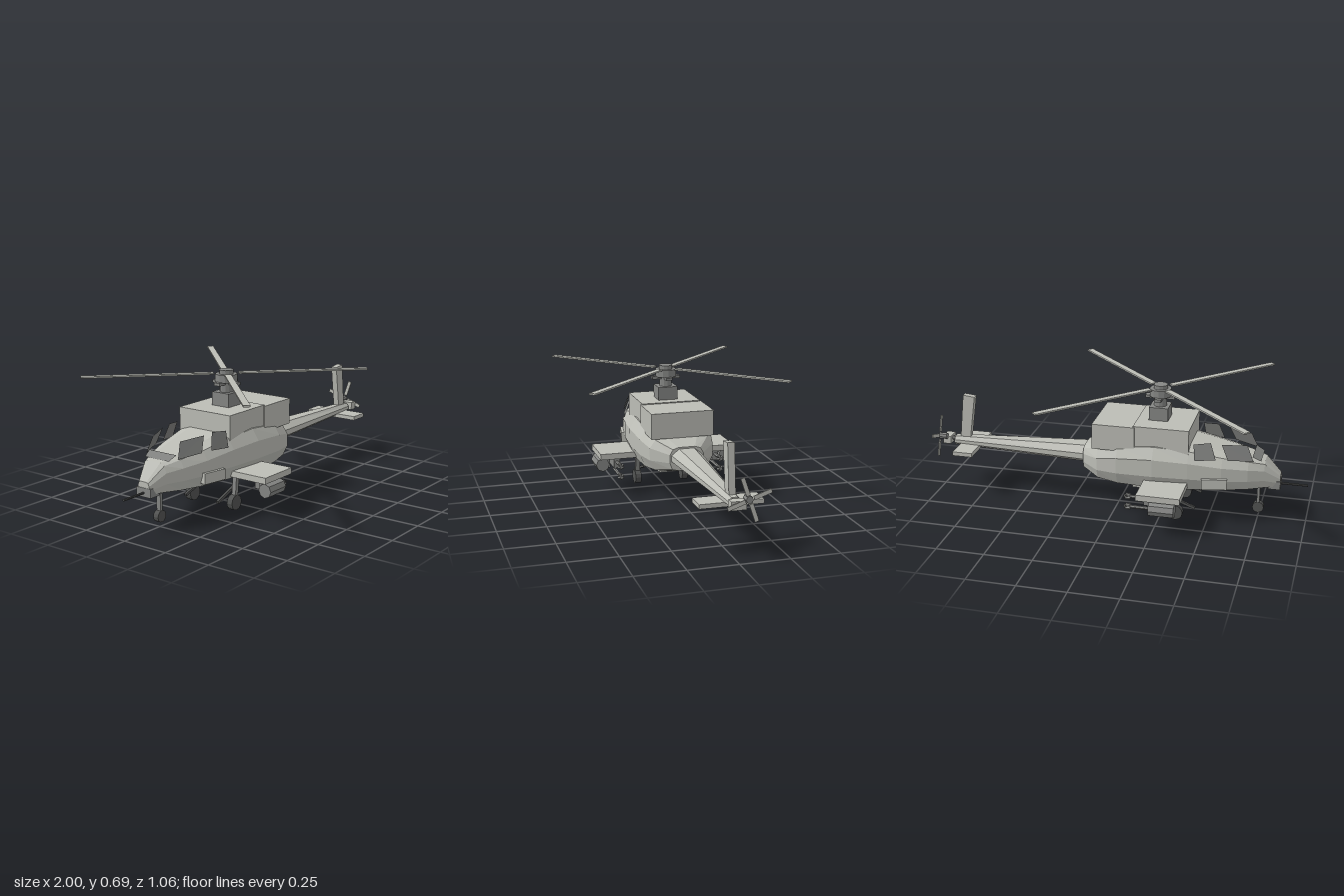
import * as THREE from 'three';

const mat = (name, color, extra = {}) => {
  const m = new THREE.MeshStandardMaterial({ color, flatShading: true, ...extra });
  m.name = name;
  return m;
};

// Skin a row of cross-sections; each station is [x, halfWidth, yBottom, yTop]
function loft(stations, section) {
  const rings = stations.map(([x, w, y0, y1]) =>
    [...section, ...section.slice().reverse().map(([a, b]) => [-a, b])]
      .map(([a, b]) => [x, y0 + b * (y1 - y0), a * w]));
  const out = [], n = rings[0].length, last = rings[rings.length - 1];
  for (let i = 0; i + 1 < rings.length; i++) {
    for (let j = 0; j < n; j++) {
      const k = (j + 1) % n;
      const a = rings[i][j], b = rings[i][k], c = rings[i + 1][j], d = rings[i + 1][k];
      out.push(...a, ...c, ...b, ...b, ...c, ...d);
    }
  }
  for (let j = 1; j + 1 < n; j++) {
    out.push(...rings[0][0], ...rings[0][j], ...rings[0][j + 1]);
    out.push(...last[0], ...last[j + 1], ...last[j]);
  }
  return fromPoints(out);
}

function fromPoints(points) {
  const g = new THREE.BufferGeometry();
  g.setAttribute('position', new THREE.Float32BufferAttribute(points, 3));
  g.computeVertexNormals();
  return g;
}

const quad = (a, b, c, d) => fromPoints([...a, ...b, ...c, ...a, ...c, ...d]);

export function createModel() {
  const model = new THREE.Group();
  model.name = 'helicopter';
  const paint = mat('light grey paint', 0xbcbdb6);
  const metal = mat('mid grey metal', 0x868785);
  const glass = mat('grey glass', 0x80817f, { side: THREE.DoubleSide });
  const dark = mat('dark grey rubber', 0x525352);

  const add = (name, geo, material, x = 0, y = 0, z = 0, parent = model) => {
    const m = new THREE.Mesh(geo, material);
    m.name = name;
    m.position.set(x, y, z);
    parent.add(m);
    return m;
  };
  // Box given by its limits on each axis
  const box = (name, material, x0, x1, y0, y1, z0, z1) =>
    add(name, new THREE.BoxGeometry(x1 - x0, y1 - y0, z1 - z0), material,
      (x0 + x1) / 2, (y0 + y1) / 2, (z0 + z1) / 2);
  const rod = (name, material, r, x0, x1, y, z, sides = 8) =>
    add(name, new THREE.CylinderGeometry(r, r, x1 - x0, sides).rotateZ(Math.PI / 2),
      material, (x0 + x1) / 2, y, z);

  // Hull and tail boom
  add('fuselage', loft([
    [-0.86, 0.035, 0.19, 0.255], [-0.78, 0.075, 0.183, 0.335], [-0.70, 0.115, 0.178, 0.355],
    [-0.57, 0.155, 0.172, 0.378], [-0.40, 0.185, 0.166, 0.41], [-0.22, 0.203, 0.162, 0.425],
    [-0.03, 0.197, 0.168, 0.405], [0.08, 0.172, 0.182, 0.37], [0.175, 0.09, 0.208, 0.333],
  ], [[0.45, 0], [0.85, 0.07], [1, 0.35], [1, 0.7], [0.82, 0.92], [0.5, 1]]), paint);
  add('tailBoom', loft([[0.16, 0.082, 0.232, 0.325], [0.92, 0.032, 0.247, 0.295]],
    [[0.5, 0], [1, 0.3], [1, 0.65], [0.5, 1]]), paint);

  // Engine housing
  box('engineFront', paint, -0.40, -0.11, 0.37, 0.505, -0.16, 0.16);
  box('engineRear', paint, -0.12, 0.105, 0.365, 0.50, -0.168, 0.168);

  // Nose turret, gun and belly box
  box('noseTurret', metal, -0.862, -0.80, 0.18, 0.225, -0.045, 0.045);
  rod('noseGun', dark, 0.006, -1, -0.84, 0.2, 0);
  box('bellyBox', paint, -0.24, -0.09, 0.125, 0.175, -0.072, 0.072);

  // Windscreen
  add('windscreen', quad([-0.762, 0.343, 0.075], [-0.762, 0.343, -0.075],
    [-0.718, 0.366, -0.085], [-0.718, 0.366, 0.085]), glass);

  // Parts found on both sides
  for (const s of [1, -1]) {
    add('frontSideWindow', quad([-0.725, 0.348, 0.1 * s], [-0.60, 0.36, 0.145 * s],
      [-0.565, 0.437, 0.13 * s], [-0.69, 0.427, 0.085 * s]), glass);
    add('rearSideWindow', quad([-0.54, 0.36, 0.155 * s], [-0.435, 0.355, 0.178 * s],
      [-0.425, 0.435, 0.155 * s], [-0.51, 0.443, 0.135 * s]), glass);
    const cheek = add('cheekBox', new THREE.BoxGeometry(0.13, 0.055, 0.04), paint,
      -0.535, 0.232, 0.157 * s);
    cheek.rotation.y = -0.19 * s;

    // Stub wing with its stores
    const wing = (a, b) => (s > 0 ? [a, b] : [-b, -a]);
    box('stubWing', paint, -0.40, -0.175, 0.194, 0.226, ...wing(0.1, 0.376));
    box('podPylon', metal, -0.35, -0.26, 0.125, 0.2, ...wing(0.305, 0.34));
    rod('rocketPod', metal, 0.037, -0.37, -0.24, 0.147, 0.35 * s);
    box('missilePylon', metal, -0.33, -0.2, 0.135, 0.2, ...wing(0.263, 0.297));
    for (const y of [0.17, 0.113]) {
      rod('missile', metal, 0.009, -0.27, -0.095, y, 0.28 * s, 6);
      for (let k = 0; k < 3; k++) {
        const fin = add('missileFins', new THREE.BoxGeometry(0.025, 0.034, 0.005), metal,
          -0.115, y, 0.28 * s);
        fin.rotation.x = k * Math.PI / 3;
      }
    }

    // Main landing gear
    const strut = add('mainStrut', new THREE.BoxGeometry(0.022, 0.16, 0.024), metal,
      -0.325, 0.115, 0.135 * s);
    strut.rotation.z = -0.1;
    add('mainWheel', new THREE.CylinderGeometry(0.04, 0.04, 0.033, 12).rotateX(Math.PI / 2),
      dark, -0.335, 0.04, 0.135 * s);
    const brace = add('gearBrace', new THREE.BoxGeometry(0.15, 0.014, 0.014), dark,
      -0.362, 0.082, 0.103 * s);
    brace.rotation.z = 0.35;
  }

  // Nose landing gear
  box('noseStrut', metal, -0.757, -0.742, 0.05, 0.2, -0.012, 0.012);
  add('noseWheel', new THREE.CylinderGeometry(0.03, 0.03, 0.03, 12).rotateX(Math.PI / 2),
    dark, -0.75, 0.055, 0);

  // Main rotor
  const rotor = new THREE.Group();
  rotor.name = 'mainRotor';
  rotor.position.x = -0.22;
  model.add(rotor);
  const drum = (name, r, y0, y1) =>
    add(name, new THREE.CylinderGeometry(r, r, y1 - y0, 12), metal, 0, (y0 + y1) / 2, 0, rotor);
  add('mastBase', new THREE.BoxGeometry(0.1, 0.08, 0.106), metal, 0, 0.535, 0, rotor);
  drum('mast', 0.034, 0.57, 0.67);
  drum('rotorHub', 0.057, 0.627, 0.667);
  drum('hubCap', 0.037, 0.66, 0.688);
  for (const turn of [0, Math.PI / 2]) {
    add('controlArm', new THREE.BoxGeometry(0.154, 0.015, 0.035), metal, 0, 0.622, 0, rotor)
      .rotation.y = turn;
  }
  for (let i = 0; i < 4; i++) {
    const geo = new THREE.BoxGeometry(0.665, 0.008, 0.034).translate(0.3975, 0, 0);
    add('rotorBlade', geo, paint, 0, 0.67, 0, rotor).rotation.y = Math.PI / 4 + i * Math.PI / 2;
  }

  // Tail fin and stabiliser
  const fin = new THREE.Shape([[0.835, 0.27], [0.89, 0.27], [0.862, 0.537], [0.798, 0.53]]
    .map(([x, y]) => new THREE.Vector2(x, y)));
  add('tailFin', new THREE.ExtrudeGeometry(fin, { depth: 0.034, bevelEnabled: false }),
    paint, 0, 0, -0.017);
  box('stabiliser', paint, 0.775, 0.883, 0.24, 0.262, -0.158, 0.158);

  // Tail rotor
  rod('tailShaft', metal, 0.012, 0.91, 0.95, 0.275, 0);
  box('tailGearbox', paint, 0.94, 0.985, 0.253, 0.296, -0.035, 0.038);
  rod('tailRotorHub', metal, 0.018, 0.955, 0.998, 0.302, -0.045);
  for (let i = 0; i < 4; i++) {
    const geo = new THREE.BoxGeometry(0.006, 0.09, 0.02).translate(0, 0.066, 0);
    add('tailRotorBlade', geo, paint, 0.996, 0.302, -0.045).rotation.x = 0.33 + i * Math.PI / 2;
  }
  return model;
}
